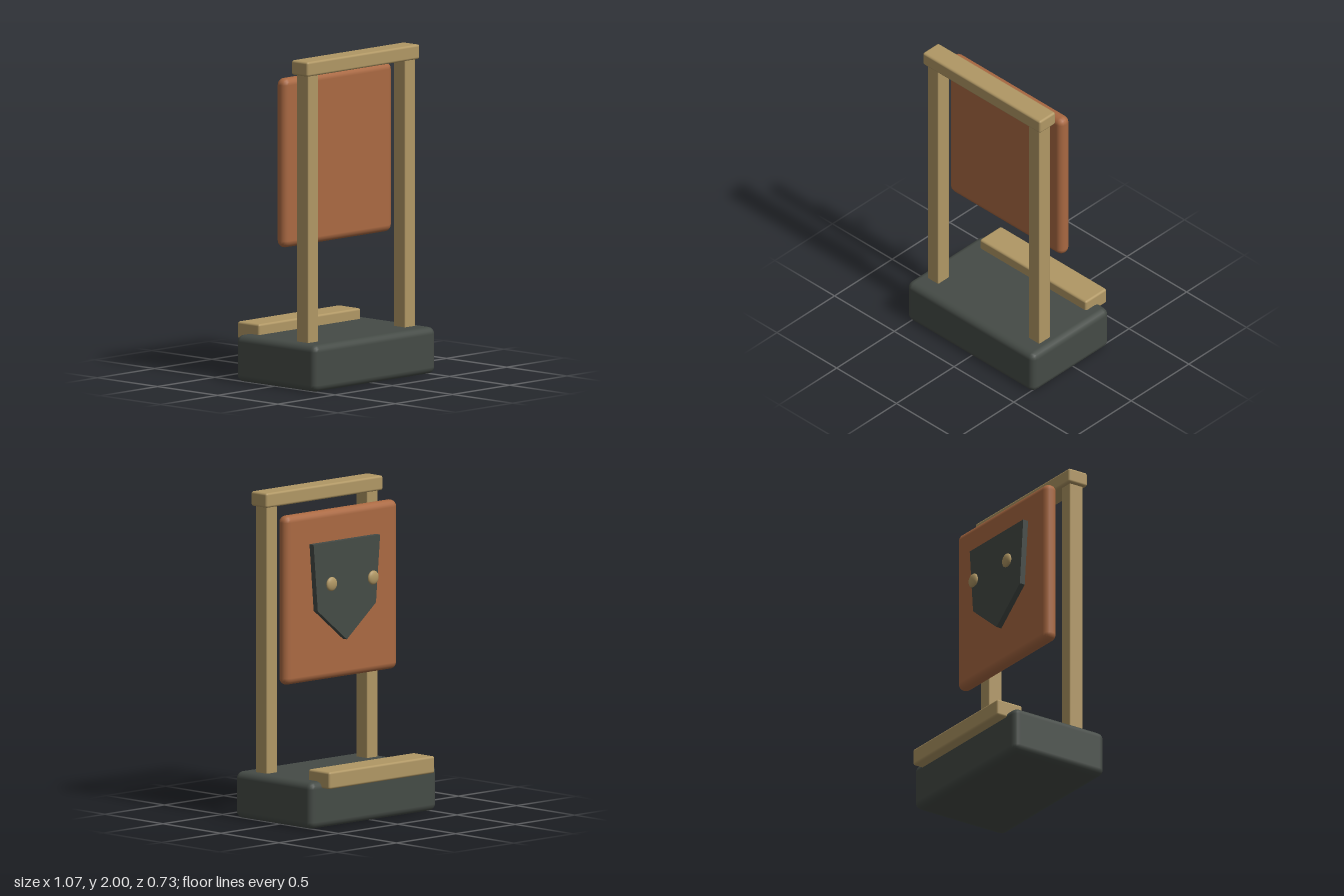
import * as THREE from 'three';
import { RoundedBoxGeometry } from 'three/addons/geometries/RoundedBoxGeometry.js';

function material(name, color) {
  const m = new THREE.MeshStandardMaterial({ color });
  m.name = name;
  return m;
}

export function createModel() {
  const wood = material('tan wood', 0xb09764);
  const clay = material('terracotta', 0xaa6942);
  const slate = material('dark slate', 0x454b46);
  const model = new THREE.Group();

  const add = (name, geometry, mat) => {
    const mesh = new THREE.Mesh(geometry, mat);
    mesh.name = name;
    model.add(mesh);
    return mesh;
  };

  // Rounded block given by its lower and upper corners
  const block = (name, mat, [x0, y0, z0], [x1, y1, z1], radius, segments = 2) => {
    const mesh = add(name, new RoundedBoxGeometry(x1 - x0, y1 - y0, z1 - z0, segments, radius), mat);
    mesh.position.set((x0 + x1) / 2, (y0 + y1) / 2, (z0 + z1) / 2);
    return mesh;
  };

  // Base, rear step and top beam
  block('base', slate, [-0.533, 0, -0.301], [0.533, 0.285, 0.365], 0.042);
  block('rearStep', wood, [-0.445, 0.245, -0.367], [0.445, 0.35, -0.183], 0.014);
  block('topBeam', wood, [-0.492, 1.91, 0.127], [0.492, 2, 0.264], 0.014);

  // Upright posts
  for (const side of [-1, 1]) {
    const x = side * 0.423;
    block(side > 0 ? 'leftPost' : 'rightPost', wood,
      [x - 0.045, 0.27, 0.15], [x + 0.045, 1.925, 0.246], 0.006, 1);
  }

  // Floating panel
  block('panel', clay, [-0.474, 0.84, -0.026], [0.474, 1.874, 0.061], 0.0425);

  // Pointed shield on the back of the panel
  const outline = new THREE.Shape([
    [-0.28, 1.685], [-0.245, 1.275], [0, 1.077], [0.245, 1.275], [0.28, 1.685],
  ].map(([x, y]) => new THREE.Vector2(x, y)));
  const shield = add('shield',
    new THREE.ExtrudeGeometry(outline, { depth: 0.045, bevelEnabled: false }), slate);
  shield.position.z = -0.062;

  // Flattened studs
  for (const side of [-1, 1]) {
    const stud = add(side > 0 ? 'leftStud' : 'rightStud', new THREE.SphereGeometry(1, 20, 14), wood);
    stud.scale.set(0.043, 0.043, 0.017);
    stud.position.set(side * 0.175, 1.44, -0.11);
  }

  return model;
}
